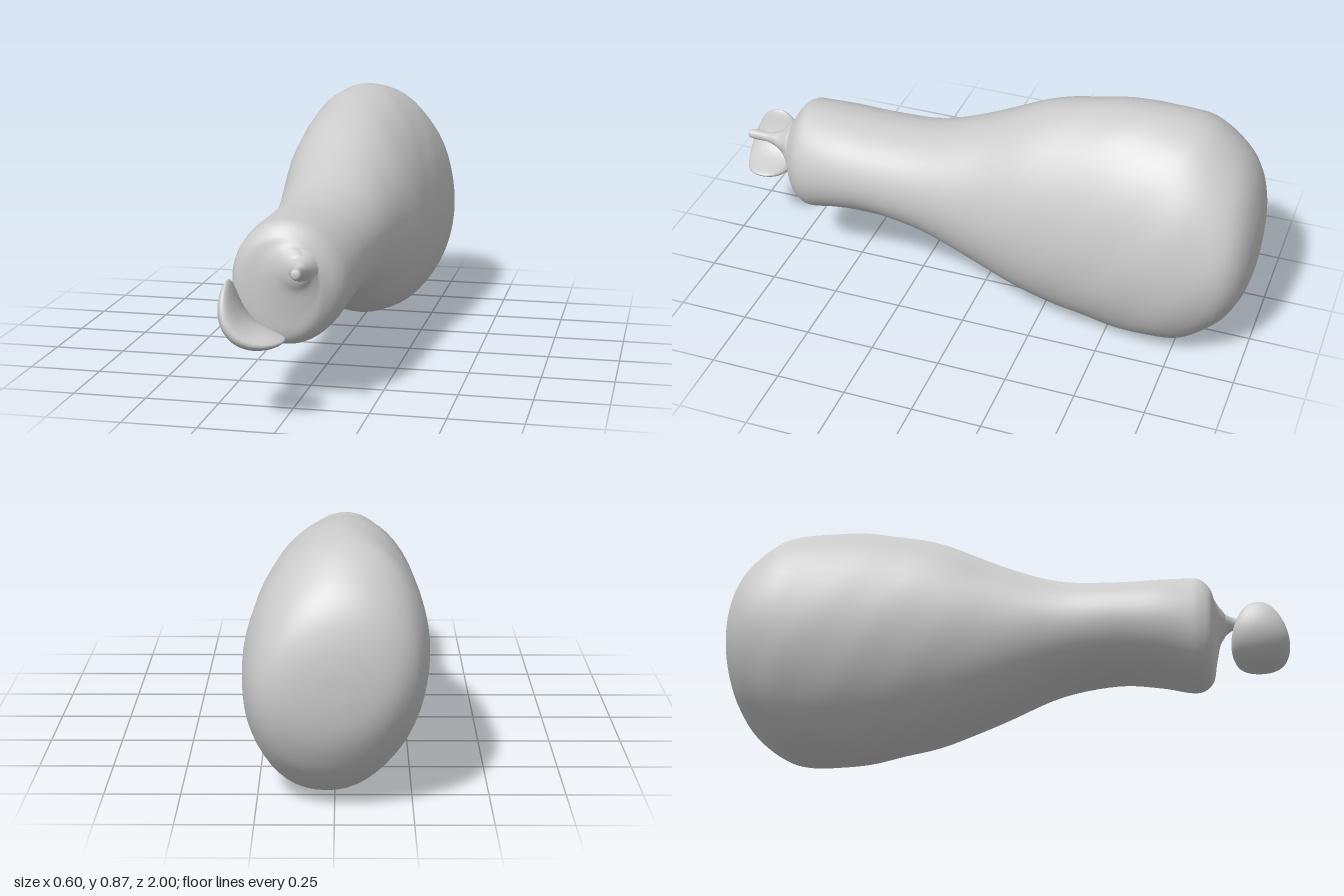
import * as THREE from 'three';

const material = new THREE.MeshStandardMaterial({ color: 0xcccccc });

// Closed skin from rings: point(u, angle) with u running 0..1, angles counter-clockwise around the path
function skin(name, rings, sides, point) {
  const positions = [], index = [];
  for (let i = 0; i <= rings; i++) {
    for (let j = 0; j < sides; j++) positions.push(...point(i / rings, (j / sides) * Math.PI * 2).toArray());
  }
  for (let i = 0; i < rings; i++) {
    for (let j = 0; j < sides; j++) {
      const k = (j + 1) % sides;
      const a = i * sides + j, b = i * sides + k, c = b + sides, d = a + sides;
      index.push(a, b, c, a, c, d);
    }
  }
  const geometry = new THREE.BufferGeometry();
  geometry.setAttribute('position', new THREE.Float32BufferAttribute(positions, 3));
  geometry.setIndex(index);
  geometry.computeVertexNormals();
  const mesh = new THREE.Mesh(geometry, material);
  mesh.name = name;
  return mesh;
}

// Loft along z through rows of [z, minX, maxX, minY, maxY]; tilt and ripple vary with z
function loft(name, rows, rings, sides, tilt = () => 0, ripple = () => 1) {
  const centres = new THREE.CatmullRomCurve3(
    rows.map(([z, l, r, b, t]) => new THREE.Vector3((l + r) / 2, (b + t) / 2, z)), false, 'catmullrom', 0.5);
  const radii = new THREE.CatmullRomCurve3(
    rows.map(([, l, r, b, t]) => new THREE.Vector3((r - l) / 2, (t - b) / 2, 0)), false, 'catmullrom', 0.5);
  return skin(name, rings, sides, (u, angle) => {
    const c = centres.getPoint(u), r = radii.getPoint(u), k = ripple(c.z, angle);
    return new THREE.Vector3(
      c.x + r.x * k * Math.cos(angle),
      c.y + r.y * k * Math.sin(angle + tilt(c.z)),
      c.z);
  });
}

export function createModel() {
  const group = new THREE.Group();
  group.name = 'gourd';

  // Bulbous body narrowing to the neck, closed by a cone-like rise towards the stem
  const bodyRows = [
    [-1.0, 0, 0, 0.44, 0.44],
    [-0.998, -0.07, 0.07, 0.37, 0.5],
    [-0.985, -0.16, 0.155, 0.285, 0.585],
    [-0.955, -0.225, 0.22, 0.205, 0.675],
    [-0.9, -0.272, 0.262, 0.12, 0.755],
    [-0.8, -0.298, 0.288, 0.035, 0.835],
    [-0.7, -0.3, 0.298, 0.005, 0.862],
    [-0.55, -0.292, 0.29, 0.002, 0.865],
    [-0.4, -0.28, 0.276, 0.026, 0.845],
    [-0.2, -0.262, 0.258, 0.07, 0.795],
    [0.0, -0.235, 0.225, 0.14, 0.705],
    [0.2, -0.215, 0.205, 0.222, 0.635],
    [0.4, -0.22, 0.188, 0.25, 0.612],
    [0.55, -0.228, 0.178, 0.23, 0.61],
    [0.65, -0.222, 0.163, 0.202, 0.61],
    [0.7, -0.212, 0.14, 0.2, 0.605],
    [0.735, -0.185, 0.105, 0.23, 0.57],
    [0.75, -0.115, 0.085, 0.31, 0.54],
    [0.765, -0.06, 0.075, 0.385, 0.525],
    [0.785, -0.015, 0.06, 0.425, 0.505],
    [0.795, 0.03, 0.03, 0.465, 0.465],
  ];
  const bulge = (z) => 1 - THREE.MathUtils.smoothstep(z, -0.3, 0.3);
  const ends = (z) => THREE.MathUtils.smoothstep(z, -1, -0.75);
  group.add(loft('gourdBody', bodyRows, 100, 56,
    (z) => -0.11 * bulge(z),
    (z, a) => 1 + 0.006 * ends(z) * bulge(z) * Math.sin(5 * a + 9 * z) * Math.sin(17 * z + 3 * a)));

  // Flared stem with a small knob at the tip
  const stemRows = [
    [0.75, -0.04, 0.085, 0.4, 0.53],
    [0.785, -0.01, 0.07, 0.43, 0.508],
    [0.81, 0.015, 0.062, 0.45, 0.5],
    [0.84, 0.024, 0.056, 0.458, 0.494],
    [0.88, 0.026, 0.062, 0.462, 0.5],
    [0.905, 0.032, 0.062, 0.468, 0.498],
    [0.91, 0.047, 0.047, 0.484, 0.484],
  ];
  group.add(loft('stem', stemRows, 24, 16));

  // Curved crescent slice floating in front of the neck
  const arc = new THREE.QuadraticBezierCurve3(
    new THREE.Vector3(-0.172, 0.455, 0.895),
    new THREE.Vector3(-0.188, 0.245, 0.9),
    new THREE.Vector3(0.01, 0.27, 0.9));
  group.add(skin('slice', 32, 24, (u, angle) => {
    const s = -Math.cos(u * Math.PI);
    const p = arc.getPoint((s + 1) / 2), t = arc.getTangent((s + 1) / 2);
    const taper = Math.max(0, 1 - s * s);
    const thick = 0.038 * Math.pow(taper, 0.6) * Math.cos(angle);
    const width = 0.1 * Math.pow(taper, s > 0 ? 0.4 : 0.46) * Math.sin(angle);
    return new THREE.Vector3(p.x - t.y * thick, p.y + t.x * thick, p.z + width);
  }));

  return group;
}
